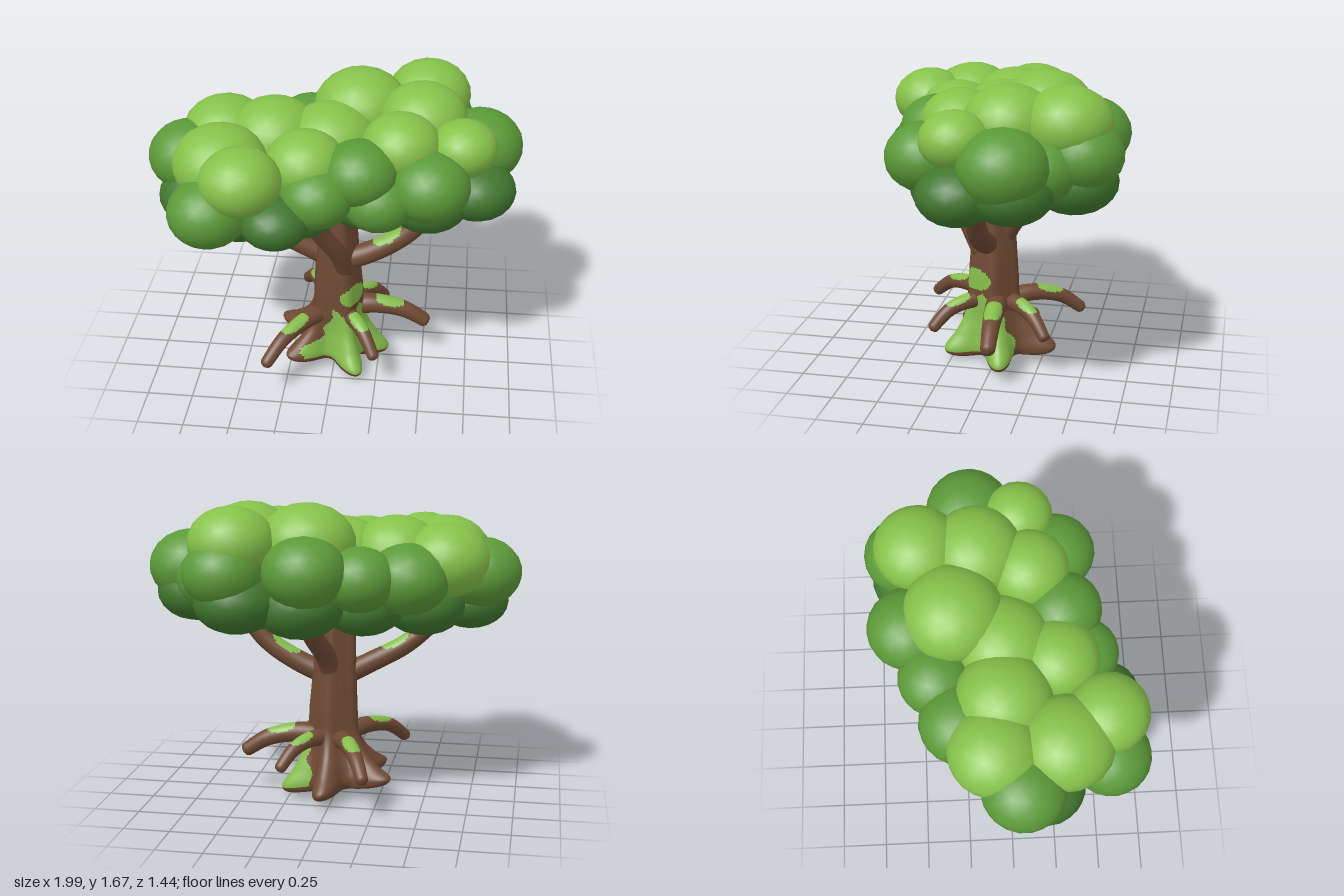
import * as THREE from 'three';

const bark = new THREE.MeshStandardMaterial({ color: 0x6f4a34 });
const moss = new THREE.MeshStandardMaterial({ color: 0x86bd4c });
const [light, mid, dark] = [0x86c24a, 0x5c9a39, 0x41772f].map((color) => new THREE.MeshStandardMaterial({ color }));

// Closed loft: point(u, v) with u around and v along; cells passing isMoss(u, v) become moss
function loft(name, point, nu, nv, isMoss) {
  const pos = [], wood = [], green = [];
  for (let j = 0; j <= nv; j++) {
    for (let i = 0; i < nu; i++) pos.push(...point(i / nu, j / nv).toArray());
  }
  for (let j = 0; j < nv; j++) {
    for (let i = 0; i < nu; i++) {
      const k = (i + 1) % nu;
      const a = j * nu + i, b = j * nu + k, c = a + nu, d = b + nu;
      (isMoss((i + 0.5) / nu, (j + 0.5) / nv) ? green : wood).push(a, c, b, b, c, d);
    }
  }
  const geo = new THREE.BufferGeometry();
  geo.setAttribute('position', new THREE.Float32BufferAttribute(pos, 3));
  geo.setIndex([...wood, ...green]);
  geo.addGroup(0, wood.length, 0);
  geo.addGroup(wood.length, green.length, 1);
  geo.computeVertexNormals();
  const mesh = new THREE.Mesh(geo, [bark, moss]);
  mesh.name = name;
  return mesh;
}

// Tapered limb with rounded tip and an oval moss patch on its upper side at mossAt
function limb(name, pts, r0, r1, mossAt) {
  const curve = new THREE.CatmullRomCurve3(pts.map((p) => new THREE.Vector3(...p)));
  const n = 56;
  const { normals, binormals } = curve.computeFrenetFrames(n);
  const offset = (u, j) => normals[j].clone().multiplyScalar(Math.cos(u * Math.PI * 2))
    .addScaledVector(binormals[j], -Math.sin(u * Math.PI * 2));
  const point = (u, v) => {
    const j = Math.round(v * n);
    const round = v > 0.94 ? Math.sqrt(Math.max(0, 1 - ((v - 0.94) / 0.06) ** 2)) : 1;
    const r = (r0 + (r1 - r0) * v) * (j === 0 ? 0 : round);
    return curve.getPointAt(v).addScaledVector(offset(u, j), r);
  };
  const isMoss = (u, v) => mossAt !== undefined
    && ((v - mossAt) / 0.15) ** 2 + ((1 - offset(u, Math.floor(v * n)).y) / 0.6) ** 2 < 1;
  return loft(name, point, 32, n, isMoss);
}

// Trunk: profile points hold (core radius, height, lobe size)
function trunk() {
  const profile = new THREE.CatmullRomCurve3([
    [0, 0.045, 0], [0.15, 0.055, 0.14], [0.17, 0.09, 0.15], [0.16, 0.17, 0.09], [0.14, 0.26, 0.045],
    [0.132, 0.36, 0.02], [0.127, 0.5, 0.015], [0.116, 0.7, 0.012], [0.098, 0.95, 0.015], [0.08, 1.12, 0.01],
  ].map((p) => new THREE.Vector3(...p)));
  const lobe = (a) => (0.5 + 0.5 * Math.cos(5 * (a - 1.08))) ** 1.5;
  const point = (u, v) => {
    const a = u * Math.PI * 2, p = profile.getPoint(v);
    const r = Math.max(0, p.x) + p.z * lobe(a) * (1.1 - 0.18 * Math.cos(a));
    const x = r * Math.cos(a), z = r * Math.sin(a);
    const low = THREE.MathUtils.clamp(1 - (p.y - 0.08) / 0.3, 0, 1);
    const lean = THREE.MathUtils.smoothstep(p.y, 0.1, 0.4);
    return new THREE.Vector3(x + 0.015 * lean - 0.03 * Math.max(0, p.y - 0.5), p.y - 0.18 * x * low, z + 0.03 * lean);
  };
  const isMoss = (u, v) => {
    const y = profile.getPoint(v).y;
    const a = THREE.MathUtils.euclideanModulo(u * 360 + 120, 360) - 120;
    const halfWidth = 85 - 110 * Math.max(0, y - 0.12) + 5 * Math.sin(y * 50);
    const skirt = v > 0.21 && y < 0.37 + 0.03 * Math.sin(a / 12) && Math.abs(a - 42) < halfWidth;
    const spot = ((a - 38) / 42) ** 2 + ((y - 0.48) / 0.062) ** 2 < 1;
    return skirt || spot;
  };
  return loft('trunk', point, 150, 130, isMoss);
}

// Leaf clumps hold x, y, z, radius
const crown = [
  [-0.6, 1.36, -0.09, 0.24], [-0.33, 1.38, -0.03, 0.25], [-0.57, 1.35, 0.27, 0.25],
  [-0.43, 1.37, 0.49, 0.21], [0.11, 1.455, -0.27, 0.26], [0.47, 1.475, -0.44, 0.23],
  [0.45, 1.46, -0.14, 0.24], [0.35, 1.43, 0.13, 0.21], [0.67, 1.415, 0.09, 0.18],
  [-0.13, 1.37, 0.26, 0.21], [-0.03, 1.37, -0.02, 0.25],
];
const rim = [
  [0.15, 1.35, 0.3, 0.2], [0.51, 1.28, 0.28, 0.21], [0.76, 1.31, -0.17, 0.23],
  [-0.78, 1.28, 0.05, 0.22], [-0.42, 1.28, -0.25, 0.22], [0.08, 1.34, -0.5, 0.22],
  [-0.18, 1.29, -0.37, 0.2], [-0.6, 1.19, 0.5, 0.21], [-0.06, 1.25, 0.39, 0.19],
  [0.5, 1.33, -0.52, 0.21], [0.6, 1.27, -0.32, 0.2], [0.25, 1.2, 0.3, 0.19],
];
// Underside clumps hold x, z, radius and lie on a shallow slope
const underside = [
  [-0.72, 0.16, 0.21], [-0.48, 0.28, 0.23], [-0.48, -0.02, 0.23], [-0.17, 0.2, 0.22],
  [-0.18, -0.2, 0.22], [0.17, 0.1, 0.22], [0.13, -0.38, 0.24], [0.5, 0.14, 0.22],
  [0.42, -0.2, 0.24], [0.72, -0.2, 0.22], [0.44, -0.47, 0.23], [-0.26, 0.5, 0.18], [0.75, 0.06, 0.21],
];

function canopy() {
  const group = new THREE.Group();
  group.name = 'canopy';
  const ball = new THREE.IcosahedronGeometry(1, 3);
  const add = (x, y, z, r, flatness, material) => {
    const clump = new THREE.Mesh(ball, material);
    clump.name = 'leafClump';
    clump.position.set(x, y, z);
    clump.scale.set(r, r * flatness, r);
    clump.rotation.y = group.children.length * 1.3;
    group.add(clump);
  };
  for (const [x, y, z, r] of crown) add(x, y, z, r, 0.83, light);
  for (const [x, y, z, r] of rim) add(x, y, z, r, 0.86, mid);
  for (const [x, z, r] of underside) {
    add(x, 1.11 + 0.03 * x + 0.06 * x * x - 0.09 * z + 0.3 * Math.max(0, z - 0.2), z, r, 0.74, dark);
  }
  return group;
}

export function createModel() {
  const tree = new THREE.Group();
  tree.name = 'tree';
  tree.add(trunk(), canopy());

  // Branches reaching into the canopy
  tree.add(
    limb('leftBranch', [[0, 0.66, 0.05], [0.2, 0.735, 0.05], [0.4, 0.865, 0.04], [0.56, 1.07, 0.03]], 0.065, 0.05, 0.5),
    limb('rightBranch', [[0, 0.66, 0.03], [-0.18, 0.755, 0.04], [-0.38, 0.865, 0.06], [-0.56, 1.02, 0.1]], 0.06, 0.05, 0.6),
    limb('frontBranch', [[0.06, 0.62, 0.09], [0.03, 0.78, 0.17], [-0.05, 0.94, 0.25], [-0.13, 1.12, 0.33]], 0.05, 0.05),
    limb('backBranch', [[0.01, 0.65, 0], [0.04, 0.8, -0.08], [0.09, 0.94, -0.2], [0.15, 1.12, -0.34]], 0.06, 0.05),
  );

  // Drooping side roots: tip position and radius
  const tips = [
    [0.53, 0.225, -0.04, 0.065], [0.25, 0.21, 0.34, 0.052], [-0.35, 0.205, 0.46, 0.055],
    [-0.22, 0.215, -0.45, 0.055], [0.27, 0.21, -0.31, 0.052],
  ];
  for (const [x, y, z, r] of tips) {
    const at = (f, h) => [x * f, h, z * f];
    tree.add(limb('sideRoot', [at(0.08, 0.33), at(0.4, 0.35), at(0.72, 0.315), [x, y, z]], r, r * 0.6, 0.5));
  }
  return tree;
}
